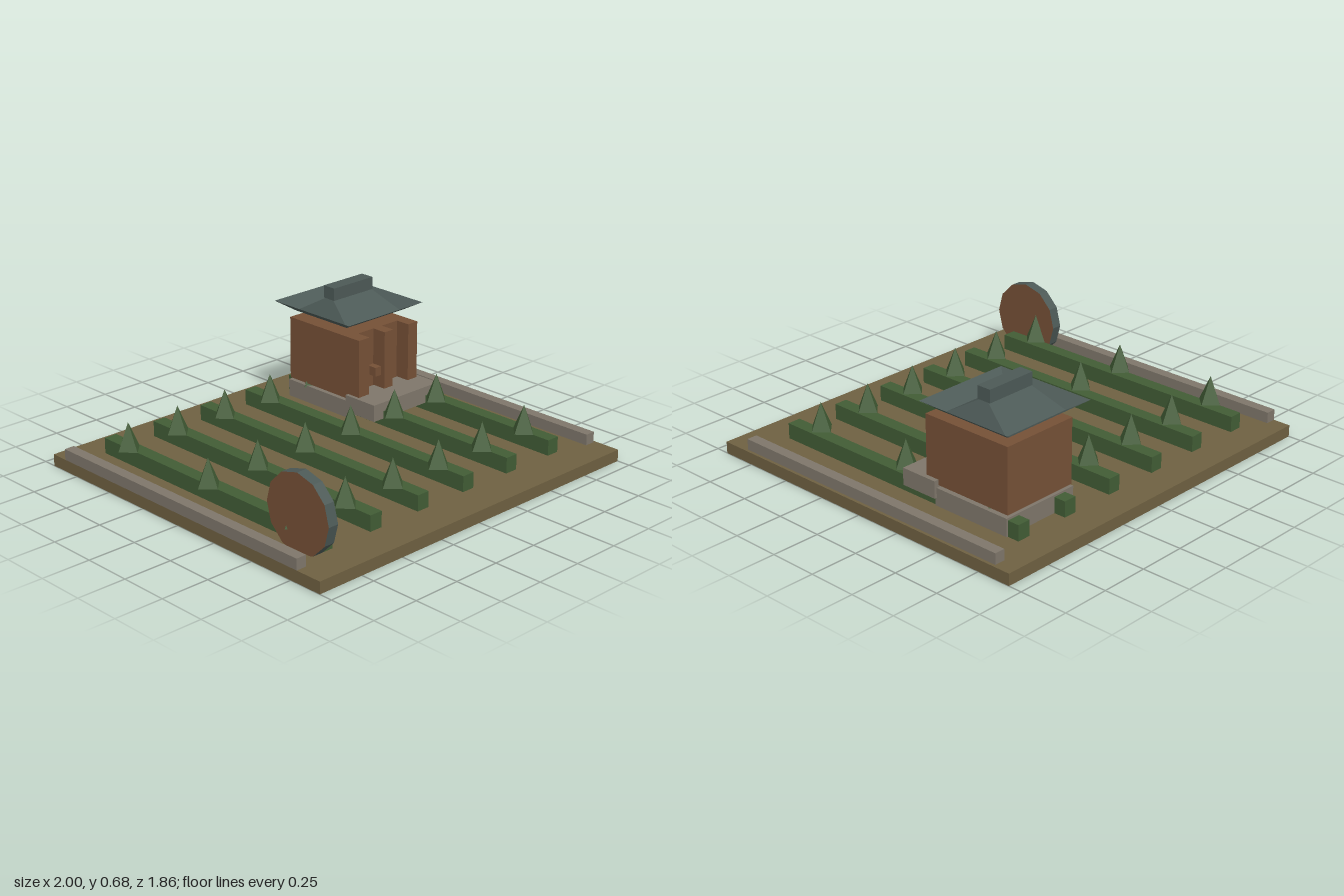
import * as THREE from 'three';

const flat = (name, color) => {
  const m = new THREE.MeshStandardMaterial({ color, flatShading: true, side: THREE.DoubleSide });
  m.name = name;
  return m;
};

export function createModel() {
  const soil = flat('soil', 0x6e6041);
  const leaf = flat('leaf', 0x415c35);
  const stone = flat('stone', 0x7e766a);
  const wood = flat('wood', 0x755036);
  const slate = flat('slate', 0x4c5956);

  const model = new THREE.Group();
  model.name = 'farmPlot';

  const add = (parent, name, geometry, material) => {
    const mesh = new THREE.Mesh(geometry, material);
    mesh.name = name;
    parent.add(mesh);
    return mesh;
  };
  const group = (name) => {
    const g = new THREE.Group();
    g.name = name;
    model.add(g);
    return g;
  };

  // Box from its limits, left open underneath
  const box = (parent, name, material, [x0, x1], [y0, y1], [z0, z1]) => {
    const g = new THREE.BoxGeometry(x1 - x0, y1 - y0, z1 - z0);
    const index = Array.from(g.index.array);
    index.splice(18, 6);
    g.setIndex(index);
    g.clearGroups();
    g.translate((x0 + x1) / 2, (y0 + y1) / 2, (z0 + z1) / 2);
    return add(parent, name, g, material);
  };

  // Ground slab
  box(model, 'ground', soil, [-1, 1], [0, 0.06], [-0.93, 0.93]);

  // Six hedge rows, each with three pointed shrubs
  const rows = group('hedgeRows');
  for (let i = 0; i < 6; i++) {
    const x = -0.777 + 0.302 * i;
    box(rows, 'hedge', leaf, [x - 0.035, x + 0.035], [0.06, 0.14], [-0.768, 0.74]);
    for (const z of [-0.58, 0, 0.58]) {
      const shrub = add(rows, 'shrub', new THREE.ConeGeometry(0.064, 0.138, 4), leaf);
      shrub.position.set(x - 0.035, 0.209, z);
    }
  }

  // Low stone walls along both sides, in five lengths
  const walls = group('sideWalls');
  for (const x of [-1, 0.93]) {
    for (let i = 0; i < 5; i++) {
      const z = -0.837 + 0.325 * i;
      box(walls, 'wallLength', stone, [x, x + 0.055], [0.06, 0.116], [z, z + 0.325]);
    }
  }

  // Upright wheel: slate rim, wooden faces
  const wheelShape = new THREE.CylinderGeometry(0.195, 0.195, 0.055, 12);
  wheelShape.rotateZ(Math.PI / 2);
  const wheel = add(model, 'wheel', wheelShape, [slate, wood, wood]);
  wheel.position.set(-0.84, 0.235, 0.652);

  // House: stone footing and porch, wooden body with three front pillars
  const house = group('house');
  box(house, 'footing', stone, [0.34, 0.775], [0.02, 0.15], [-0.705, -0.265]);
  box(house, 'porch', stone, [0.328, 0.788], [0.1, 0.187], [-0.275, -0.073]);
  box(house, 'body', wood, [0.347, 0.763], [0.16, 0.49], [-0.7, -0.28]);
  for (const [x0, x1] of [[0.347, 0.42], [0.528, 0.588], [0.698, 0.763]]) {
    box(house, 'pillar', wood, [x0, x1], [0.16, 0.49], [-0.28, -0.2]);
  }
  box(house, 'doorBar', wood, [0.49, 0.616], [0.255, 0.302], [-0.28, -0.225]);

  // Roof: upturned eave, then a hip rising to the ridge
  const ring = (x0, x1, y, z0, z1) => [[x0, y, z1], [x1, y, z1], [x1, y, z0], [x0, y, z0]];
  const rings = [
    ring(0.295, 0.818, 0.575, -0.76, -0.218),
    ring(0.368, 0.75, 0.525, -0.678, -0.308),
    ring(0.427, 0.692, 0.621, -0.515, -0.47),
  ];
  const points = [];
  for (let r = 0; r < 2; r++) {
    for (let i = 0; i < 4; i++) {
      const j = (i + 1) % 4;
      const [a, b, c, d] = [rings[r][i], rings[r][j], rings[r + 1][j], rings[r + 1][i]];
      points.push(...a, ...b, ...c, ...a, ...c, ...d);
    }
  }
  const roofShape = new THREE.BufferGeometry();
  roofShape.setAttribute('position', new THREE.Float32BufferAttribute(points, 3));
  roofShape.computeVertexNormals();
  add(house, 'roof', roofShape, slate);
  // Closed floor under the hip
  const floor = new THREE.PlaneGeometry(0.382, 0.37).rotateX(Math.PI / 2);
  floor.translate(0.559, 0.525, -0.493);
  add(house, 'roofUnderside', floor, slate);
  box(house, 'ridge', slate, [0.423, 0.694], [0.618, 0.683], [-0.53, -0.455]);

  return model;
}
